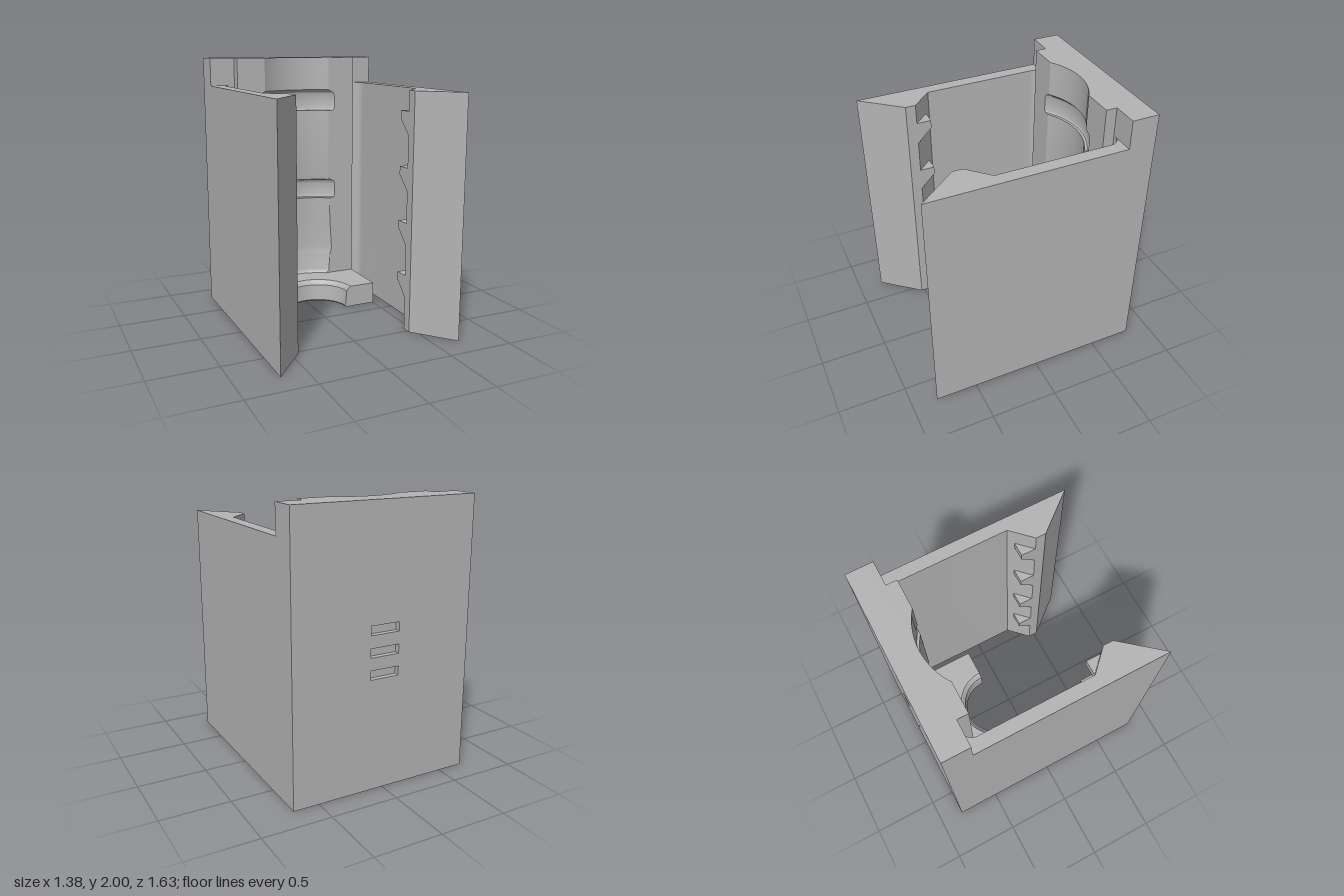
import * as THREE from 'three';
import { toCreasedNormals } from 'three/addons/utils/BufferGeometryUtils.js';
import { ConvexGeometry } from 'three/addons/geometries/ConvexGeometry.js';

const AXIS_Z = -0.14; // vertical axis of the round hollow
const ARC = 36;

export function createModel() {
  const model = new THREE.Group();
  const grey = new THREE.MeshStandardMaterial({ color: 0xb4b4b4 });
  grey.name = 'plain grey';

  function add(name, geometry) {
    const mesh = new THREE.Mesh(geometry, grey);
    mesh.name = name;
    model.add(mesh);
    return mesh;
  }

  function box(name, x0, x1, y0, y1, z0, z1) {
    add(name, new THREE.BoxGeometry(x1 - x0, y1 - y0, z1 - z0))
      .position.set((x0 + x1) / 2, (y0 + y1) / 2, (z0 + z1) / 2);
  }

  const shapeOf = (points, sign) =>
    new THREE.Shape(points.map(([x, z]) => new THREE.Vector2(x, sign * z)));

  // Plan section of a block whose front is hollowed by a circle of radius r
  function section(r, front) {
    const a = Math.acos(Math.min(1, (AXIS_Z - front) / r));
    const points = [[-0.5, -0.68], [-0.5, front]];
    for (let i = 0; i <= ARC; i++) {
      const t = -a + (2 * a * i) / ARC;
      points.push([r * Math.sin(t), AXIS_Z - r * Math.cos(t)]);
    }
    points.push([0.5, front], [0.5, -0.68]);
    return points;
  }

  // Block with a turned hollow: stack the plan sections given by [y, radius]
  function hollowBlock(name, levels, front) {
    const positions = [], index = [];
    levels.forEach(([y, r]) => section(r, front).forEach(([x, z]) => positions.push(x, y, z)));
    const n = ARC + 5;
    for (let j = 0; j < levels.length - 1; j++) {
      for (let i = 0; i < n - 1; i++) {
        const a = j * n + i, b = a + 1, c = b + n, d = a + n;
        index.push(a, b, c, a, c, d);
      }
    }
    const g = new THREE.BufferGeometry();
    g.setAttribute('position', new THREE.Float32BufferAttribute(positions, 3));
    g.setIndex(index);
    add(name, toCreasedNormals(g, 0.5));

    const [y0, r0] = levels[0], [y1, r1] = levels[levels.length - 1];
    add(name + 'Top', new THREE.ShapeGeometry(shapeOf(section(r1, front), -1))
      .rotateX(-Math.PI / 2).translate(0, y1, 0));
    add(name + 'Bottom', new THREE.ShapeGeometry(shapeOf(section(r0, front), 1))
      .rotateX(Math.PI / 2).translate(0, y0, 0));
  }

  // Back plate with three shallow slots in its outer face
  const plate = new THREE.Shape([[-0.69, 0], [0.69, 0], [0.69, 2], [-0.69, 2]]
    .map(p => new THREE.Vector2(...p)));
  for (const y of [0.81, 0.965, 1.12]) {
    plate.holes.push(new THREE.Path([[-0.11, y], [-0.11, y + 0.065], [0.11, y + 0.065], [0.11, y]]
      .map(p => new THREE.Vector2(...p))));
  }
  add('slottedBackPlate', new THREE.ExtrudeGeometry(plate, { depth: 0.04, bevelEnabled: false })
    .translate(0, 0, -0.82));
  box('backSlab', -0.69, 0.69, 0, 2, -0.78, -0.68);

  // Thick centre of the back; each entry is height and half-width of the hollow's rim
  const rim = [
    [0.17, 0.25], [0.18, 0.27], [0.2, 0.283], [0.33, 0.288], [0.36, 0.3], [0.4, 0.305],
    [0.6, 0.293], [0.83, 0.283], [0.83, 0.31], [0.837, 0.325], [0.855, 0.334], [0.95, 0.334],
    [0.97, 0.328], [0.985, 0.31], [0.99, 0.285], [1.02, 0.275], [1.57, 0.275], [1.57, 0.31],
    [1.577, 0.322], [1.595, 0.33], [1.69, 0.33], [1.715, 0.32], [1.74, 0.275], [2, 0.275],
  ];
  hollowBlock('hollowedBack', rim.map(([y, w]) => [y, Math.hypot(0.4, w)]), -0.54);

  // Bottom shelf with a half-round, chamfered seat
  hollowBlock('shelf', [[0, 0.252], [0.01, 0.246], [0.135, 0.257], [0.14, 0.265],
    [0.155, 0.272], [0.17, 0.29]], AXIS_Z);

  for (const s of [-1, 1]) {
    const side = s > 0 ? 'left' : 'right';
    box(side + 'BackEdge', s > 0 ? 0.5 : -0.69, s > 0 ? 0.69 : -0.5, 0, 2, -0.68, -0.62);

    // Side wall with a rounded inner corner and a hooked front edge
    const wall = [[0.5, -0.62], [0.69, -0.62], [0.69, 0.815], [0.447, 0.525], [0.447, 0.45], [0.595, 0.302]];
    for (let i = 0; i <= 10; i++) {
      const t = (i / 10) * Math.PI / 2;
      wall.push([0.515 + 0.08 * Math.cos(t), -0.54 - 0.08 * Math.sin(t)]);
    }
    const wallShape = shapeOf(wall.map(([x, z]) => [s * x, z]), -1);
    const wallGeometry = new THREE.ExtrudeGeometry(wallShape, { depth: 1.79, bevelEnabled: false })
      .rotateX(-Math.PI / 2);
    add(side + 'Wall', toCreasedNormals(wallGeometry, 0.3));

    // Wedge teeth behind the hook
    for (const top of [0.42, 0.82, 1.23, 1.64]) {
      const corners = [[0.447, 0.34, 0.06], [0.557, 0.34, 0.06], [0.447, 0.45, 0.17]];
      const points = corners.flatMap(([x, z, drop]) => [
        new THREE.Vector3(s * x, top, z), new THREE.Vector3(s * x, top - drop, z)]);
      add(side + 'Tooth', new ConvexGeometry(points));
    }
  }
  return model;
}
